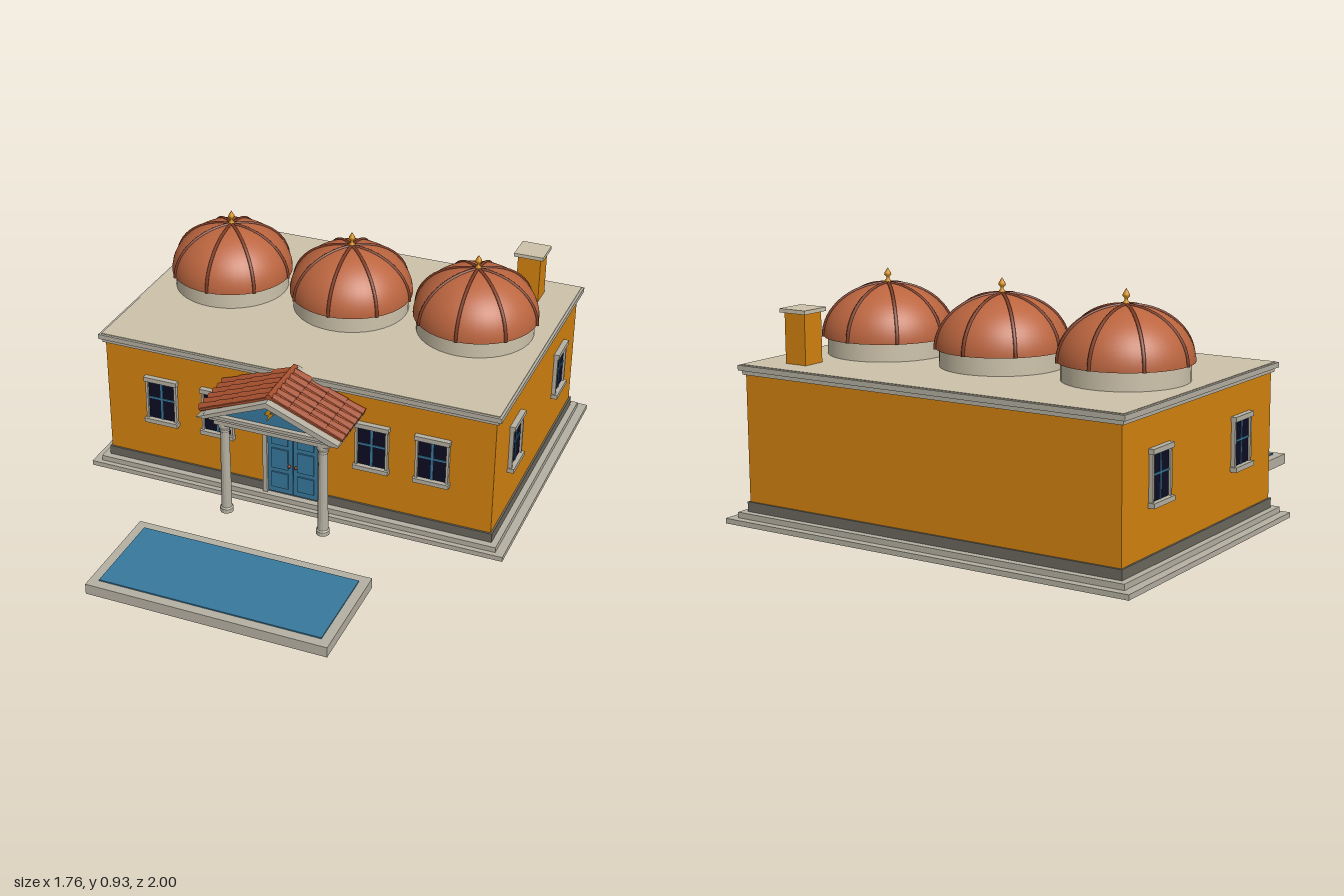
import * as THREE from 'three';

const mat = (name, color) => {
  const m = new THREE.MeshStandardMaterial({ color });
  m.name = name;
  return m;
};

export function createModel() {
  const ochre = mat('ochre wall', 0xd4830f);
  const stone = mat('stone', 0xb5b0a2);
  const plaster = mat('pale plaster', 0xcdc3ab);
  const darkStone = mat('dark stone', 0x6b685e);
  const copper = mat('dome terracotta', 0xbb653f);
  const tileRed = mat('roof tile', 0xa8502f);
  const ribBrown = mat('rib brown', 0x7d3c25);
  const blue = mat('blue', 0x37789d);
  const glass = mat('dark glass', 0x0e0c22);
  const gold = mat('gold', 0xd08a12);

  const model = new THREE.Group();
  const put = (parent, name, geo, material, x = 0, y = 0, z = 0) => {
    const m = new THREE.Mesh(geo, material);
    m.name = name;
    m.position.set(x, y, z);
    parent.add(m);
    return m;
  };
  // box given by its centre in x and z and its bottom and top heights
  const box = (parent, name, material, w, y0, y1, d, x = 0, z = 0) =>
    put(parent, name, new THREE.BoxGeometry(w, y1 - y0, d), material, x, (y0 + y1) / 2, z);
  const group = (name, x = 0, y = 0, z = 0) => {
    const g = new THREE.Group();
    g.name = name;
    g.position.set(x, y, z);
    model.add(g);
    return g;
  };
  const flat = (geo) => {
    const g = geo.toNonIndexed();
    g.computeVertexNormals();
    return g;
  };
  const points = (list) => list.map(([x, y]) => new THREE.Vector2(x, y));
  const extrude = (list, depth) =>
    new THREE.ExtrudeGeometry(new THREE.Shape(points(list)), { depth, bevelEnabled: false });

  // Main building: steps, plinth, walls, cornice and flat roof
  const house = group('building', 0, 0, -0.387);
  box(house, 'lowerStep', stone, 1.76, 0, 0.02, 1.216, 0, -0.005);
  box(house, 'upperStep', stone, 1.69, 0.02, 0.042, 1.165);
  box(house, 'plinth', darkStone, 1.64, 0.042, 0.08, 1.11);
  box(house, 'walls', ochre, 1.625, 0.08, 0.57, 1.095);
  box(house, 'lowerCornice', stone, 1.645, 0.568, 0.584, 1.115);
  box(house, 'upperCornice', stone, 1.67, 0.584, 0.604, 1.135);
  box(house, 'roofDeck', plaster, 1.65, 0.6, 0.607, 1.115);

  // Chimney
  const chimney = group('chimney', 0.647, 0, -0.797);
  box(chimney, 'chimneyShaft', ochre, 0.095, 0.6, 0.8, 0.095);
  box(chimney, 'chimneyCap', plaster, 0.122, 0.8, 0.815, 0.122);

  // Three ribbed domes on drums
  const finialProfile = points([[0, 0], [0.014, 0], [0.012, 0.012], [0.006, 0.018],
    [0.006, 0.026], [0.014, 0.034], [0.012, 0.042], [0, 0.062]]);
  for (const x of [-0.53, 0, 0.53]) {
    const dome = group('dome', x, 0, -0.433);
    put(dome, 'drum', new THREE.CylinderGeometry(0.235, 0.235, 0.075, 40), plaster, 0, 0.6425);
    const shell = new THREE.SphereGeometry(0.25, 40, 16, 0, Math.PI * 2, 0, Math.PI / 2);
    put(dome, 'domeShell', shell, copper, 0, 0.675).scale.y = 0.8;
    const under = put(dome, 'domeUnderside', new THREE.CircleGeometry(0.25, 40), copper, 0, 0.675);
    under.rotation.x = Math.PI / 2;
    for (let i = 0; i < 4; i++) {
      const rib = put(dome, 'domeRib', new THREE.TorusGeometry(0.251, 0.007, 6, 32, Math.PI), ribBrown, 0, 0.675);
      rib.scale.y = 0.8;
      rib.rotation.y = i * Math.PI / 4;
    }
    put(dome, 'finial', new THREE.LatheGeometry(finialProfile, 12), gold, 0, 0.872);
  }

  // Windows, built facing +z with the wall at z = 0
  const addWindow = (x, z, turn) => {
    const w = group('window', x, 0, z);
    w.rotation.y = turn;
    box(w, 'windowGlass', glass, 0.118, 0.265, 0.435, 0.008, 0, 0.003);
    box(w, 'mullion', blue, 0.009, 0.265, 0.435, 0.006, 0, 0.007);
    box(w, 'transom', blue, 0.118, 0.355, 0.363, 0.006, 0, 0.007);
    for (const s of [-1, 1]) box(w, 'windowJamb', stone, 0.01, 0.265, 0.435, 0.016, s * 0.062, 0.008);
    box(w, 'lintel', stone, 0.142, 0.434, 0.453, 0.024, 0, 0.01);
    box(w, 'sill', stone, 0.145, 0.248, 0.266, 0.028, 0, 0.012);
  };
  for (const s of [-1, 1]) {
    for (const x of [0.325, 0.57]) addWindow(s * x, 0.1605, 0);
    for (const z of [-0.09, -0.69]) addWindow(s * 0.8125, z, s * Math.PI / 2);
  }

  // Panelled double door
  const door = group('door', 0, 0, 0.1605);
  box(door, 'doorLintel', stone, 0.285, 0.398, 0.42, 0.034, 0, 0.014);
  for (const s of [-1, 1]) {
    box(door, 'doorJamb', stone, 0.018, 0.045, 0.4, 0.026, s * 0.117, 0.011);
    box(door, 'doorLeaf', blue, 0.106, 0.05, 0.398, 0.014, s * 0.0545, 0.007);
    for (const [y0, y1] of [[0.075, 0.145], [0.165, 0.255], [0.275, 0.375]])
      box(door, 'doorPanel', blue, 0.07, y0, y1, 0.008, s * 0.055, 0.016);
    put(door, 'doorKnob', new THREE.SphereGeometry(0.007, 10, 8), ribBrown, s * 0.014, 0.185, 0.019);
  }

  // Portico: columns, entablature and gabled tile roof
  const portico = group('portico');
  const columnProfile = points([[0, 0.045], [0.027, 0.045], [0.027, 0.062], [0.022, 0.068], [0.0215, 0.075],
    [0.018, 0.41], [0.02, 0.414], [0.02, 0.42], [0.028, 0.437], [0.028, 0.452], [0, 0.452]]);
  for (const s of [-1, 1])
    put(portico, 'column', flat(new THREE.LatheGeometry(columnProfile, 14)), stone, s * 0.203, 0, 0.36);
  box(portico, 'architrave', stone, 0.47, 0.45, 0.472, 0.23, 0, 0.275);
  box(portico, 'frieze', stone, 0.5, 0.472, 0.49, 0.24, 0, 0.28);
  box(portico, 'pedimentCornice', stone, 0.53, 0.49, 0.503, 0.26, 0, 0.285);
  put(portico, 'pediment', extrude([[-0.25, 0.503], [0.25, 0.503], [0, 0.605]], 0.24), stone, 0, 0, 0.15);
  put(portico, 'pedimentPanel', extrude([[-0.23, 0.503], [0.23, 0.503], [0, 0.597]], 0.005), blue, 0, 0, 0.39);
  put(portico, 'zigzagOrnament', extrude([[0.002, 0.578], [-0.02, 0.546], [-0.002, 0.546], [-0.012, 0.518],
    [0.02, 0.554], [0.003, 0.554], [0.016, 0.578]], 0.006), gold, 0, 0, 0.394);
  put(portico, 'rakingCornice', extrude([[-0.29, 0.49], [-0.255, 0.49], [0, 0.594], [0.255, 0.49],
    [0.29, 0.49], [0.29, 0.5], [0, 0.617]], 0.31), stone, 0, 0, 0.12);

  // Overlapping barrel tiles running down both slopes
  const slope = Math.atan2(0.117, 0.29);
  const columns = 6, rows = 4, pitch = 0.245 / columns, tileLength = 0.312 / rows;
  for (const s of [-1, 1]) {
    const side = new THREE.Group();
    side.name = 'tileSlope';
    side.position.set(0, 0.617, 0);
    side.rotation.z = -s * slope;
    portico.add(side);
    box(side, 'tileBed', tileRed, 0.312, -0.002, 0.007, 0.245, s * 0.156, 0.275);
    for (let c = 0; c < columns; c++) {
      for (let r = 0; r < rows; r++) {
        const geo = new THREE.CylinderGeometry(0.013, 0.017, tileLength + 0.006, 10);
        const tile = put(side, 'barrelTile', geo, tileRed, s * (r + 0.5) * tileLength, 0.004, 0.1525 + (c + 0.5) * pitch);
        tile.rotation.z = s * Math.PI / 2;
      }
    }
  }
  const ridge = put(portico, 'ridgeTile', new THREE.CylinderGeometry(0.012, 0.012, 0.25, 10), tileRed, 0, 0.625, 0.275);
  ridge.rotation.x = Math.PI / 2;

  // Pool in front of the portico
  const pool = group('pool', 0, 0, 0.779);
  box(pool, 'poolRim', stone, 0.965, 0, 0.043, 0.442);
  box(pool, 'poolWater', blue, 0.89, 0.04, 0.048, 0.365);

  return model;
}
